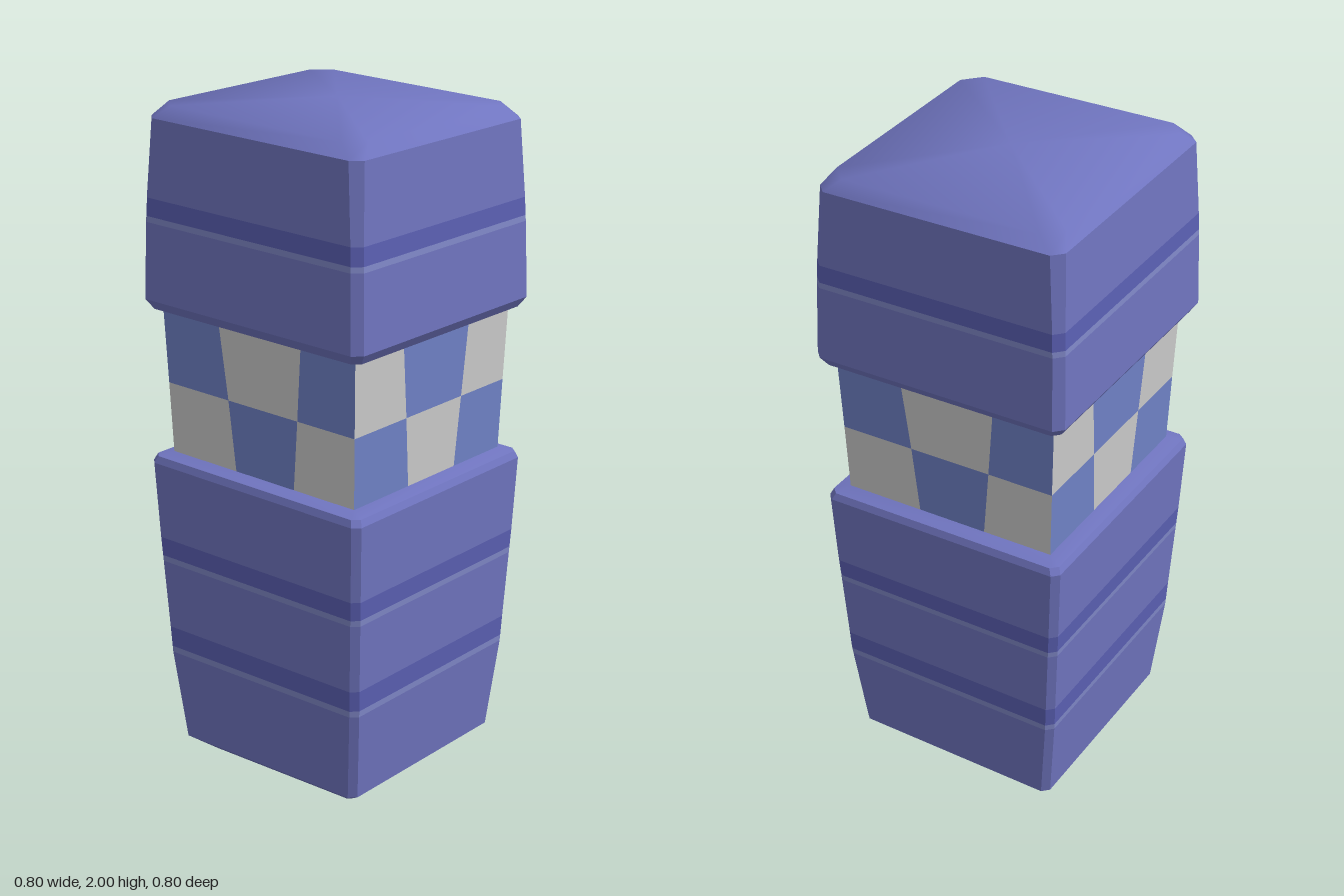
import * as THREE from 'three';
import { toCreasedNormals } from 'three/addons/utils/BufferGeometryUtils.js';

const material = (color) => new THREE.MeshStandardMaterial({ color, side: THREE.DoubleSide });
const shell = material(0x7075c0);
const groove = material(0x5b60b4);
const ledge = material(0x8088c8);
const blue = material(0x7083c8);
const white = material(0xcccccc);

// The whole tower leans very slightly: heights drop toward +x
const lean = (x, y, z) => [x, y - 0.03 * x * Math.min(1, y), z];

// Square outline of half-width h at height y, with corners cut by c
function ring([h, y, c = 0.02]) {
  const k = h - c;
  return [[h, -k], [h, k], [k, h], [-k, h], [-h, k], [-h, -k], [-k, -h], [k, -h]]
    .map(([x, z]) => lean(x, y, z));
}

function meshFrom(name, positions, mat, crease) {
  const geo = new THREE.BufferGeometry();
  geo.setAttribute('position', new THREE.Float32BufferAttribute(positions, 3));
  const mesh = new THREE.Mesh(toCreasedNormals(geo, crease), mat);
  mesh.name = name;
  return mesh;
}

// Skin joining a stack of square outlines, listed from bottom to top
function loft(name, sections, mat, crease = 0.5) {
  const rings = sections.map(ring);
  const p = [];
  for (let s = 0; s < rings.length - 1; s++) {
    const a = rings[s], b = rings[s + 1];
    for (let i = 0; i < 8; i++) {
      const j = (i + 1) % 8;
      p.push(...a[i], ...b[i], ...a[j], ...a[j], ...b[i], ...b[j]);
    }
  }
  return meshFrom(name, p, mat, crease);
}

// Two rows of three checks on each side, colours alternating around the tower
function checkedBand() {
  const band = new THREE.Group();
  band.name = 'checkedBand';
  const rows = [ // height, half-width, middle column start and end
    [0.955, 0.337, -0.095, 0.12],
    [1.165, 0.344, -0.115, 0.14],
    [1.385, 0.352, -0.14, 0.16],
  ];
  for (let side = 0; side < 4; side++) {
    const angle = side * Math.PI / 2;
    const cos = Math.round(Math.cos(angle)), sin = Math.round(Math.sin(angle));
    const corner = (r, c) => {
      const [y, h, left, right] = rows[r];
      const u = [-h, left, right, h][c];
      return lean(u * cos + h * sin, y, h * cos - u * sin);
    };
    for (let r = 0; r < 2; r++) {
      for (let c = 0; c < 3; c++) {
        const a = corner(r, c), b = corner(r, c + 1);
        const d = corner(r + 1, c), e = corner(r + 1, c + 1);
        band.add(meshFrom('check', [...a, ...b, ...e, ...a, ...e, ...d],
          (r + c + side) % 2 ? blue : white, 0.3));
      }
    }
  }
  return band;
}

export function createModel() {
  const model = new THREE.Group();
  model.name = 'tower';

  // Body, open underneath, with two trim lines
  const body = new THREE.Group();
  body.name = 'body';
  body.add(
    loft('bottomRim', [[0.265, 0, 0.01], [0.332, 0.05]], shell),
    loft('lowerWall', [[0.332, 0.05], [0.36, 0.328]], shell),
    loft('lowerLedge', [[0.36, 0.328], [0.361, 0.347]], ledge),
    loft('lowerGroove', [[0.361, 0.347], [0.364, 0.41]], groove),
    loft('middleWall', [[0.364, 0.41], [0.375, 0.62]], shell),
    loft('upperLedge', [[0.375, 0.62], [0.376, 0.638]], ledge),
    loft('upperGroove', [[0.376, 0.638], [0.379, 0.695]], groove),
    loft('upperWall', [[0.379, 0.695], [0.389, 0.925]], shell),
    loft('bodyLip', [[0.389, 0.925], [0.38, 0.945], [0.337, 0.955, 0]], shell),
  );

  // Cap with one trim line
  const cap = new THREE.Group();
  cap.name = 'cap';
  cap.add(
    loft('capLip', [[0.352, 1.385, 0], [0.38, 1.39], [0.4, 1.42, 0.025]], shell),
    loft('capLowerWall', [[0.4, 1.42, 0.025], [0.394, 1.645, 0.025]], shell),
    loft('capLedge', [[0.394, 1.645, 0.025], [0.393, 1.662, 0.025]], ledge),
    loft('capGroove', [[0.393, 1.662, 0.025], [0.391, 1.715, 0.025]], groove),
    loft('capUpperWall', [[0.391, 1.715, 0.025], [0.38, 1.94, 0.03]], shell),
    // Softly shaded low pyramid roof with a bevelled edge
    loft('roof', [[0.38, 1.94, 0.03], [0.355, 1.978, 0.05], [0, 2, 0]], shell, 1.0),
  );

  model.add(body, checkedBand(), cap);
  return model;
}
